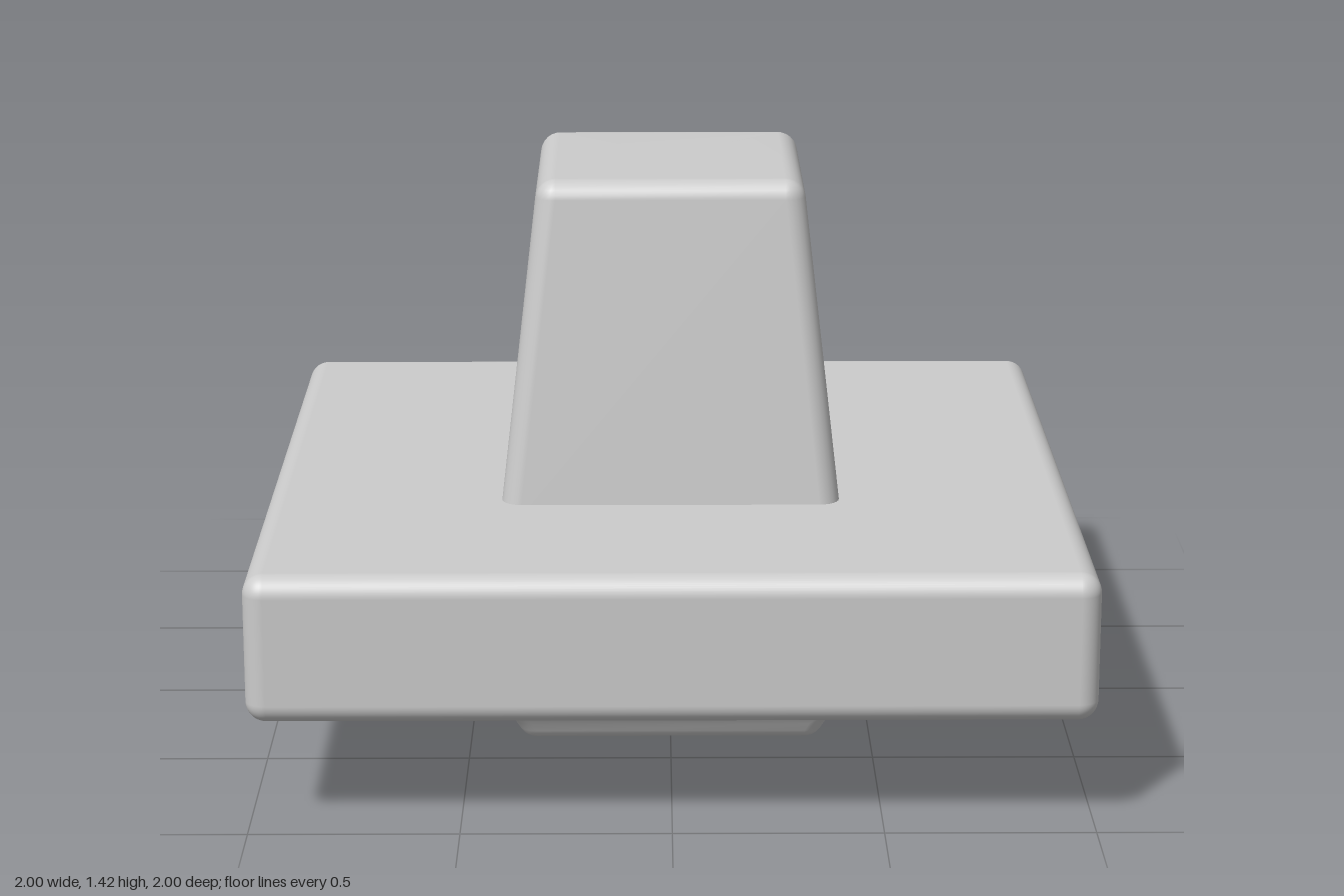
import * as THREE from 'three';
import { RoundedBoxGeometry } from 'three/addons/geometries/RoundedBoxGeometry.js';

const CORNER_STEPS = 6;

// Square ring with rounded corners, counter-clockwise seen from above
function squareRing({ h, y, r }) {
  const points = [];
  for (let c = 0; c < 4; c++) {
    const mid = Math.PI / 4 + c * Math.PI / 2;
    const cx = Math.sign(Math.cos(mid)) * (h - r);
    const cz = -Math.sign(Math.sin(mid)) * (h - r);
    for (let i = 0; i <= CORNER_STEPS; i++) {
      const a = (c + i / CORNER_STEPS) * Math.PI / 2;
      points.push(cx + r * Math.cos(a), y, cz - r * Math.sin(a));
    }
  }
  return points;
}

// Skin the rings from bottom to top; a ring with h = 0 closes an end
function loft(rings) {
  const n = 4 * (CORNER_STEPS + 1);
  const index = [];
  for (let k = 0; k < rings.length - 1; k++) {
    for (let i = 0; i < n; i++) {
      const j = (i + 1) % n;
      const a = k * n + i, b = k * n + j;
      index.push(a, b, b + n, a, b + n, a + n);
    }
  }
  const geometry = new THREE.BufferGeometry();
  geometry.setAttribute('position', new THREE.Float32BufferAttribute(rings.flatMap(squareRing), 3));
  geometry.setIndex(index);
  geometry.computeVertexNormals();
  return geometry;
}

// Rings along a rounded edge, from angle a0 to a1
function fillet(cx, cy, radius, a0, a1, steps = 6) {
  return Array.from({ length: steps + 1 }, (_, i) => {
    const a = THREE.MathUtils.degToRad(a0 + (a1 - a0) * i / steps);
    const out = radius * Math.cos(a);
    return { h: cx + out, y: cy + radius * Math.sin(a), r: Math.max(out, 0.003) };
  });
}

export function createModel() {
  const group = new THREE.Group();
  const material = new THREE.MeshStandardMaterial({ color: 0xcccccc });
  const add = (name, geometry) => {
    const mesh = new THREE.Mesh(geometry, material);
    mesh.name = name;
    group.add(mesh);
    return mesh;
  };

  // Wide square slab
  add('slab', new RoundedBoxGeometry(2, 0.362, 2, 6, 0.05)).position.y = 0.449;

  // Tapered post with a rounded top edge
  add('post', loft([
    { h: 0.419, y: 0.6, r: 0.05 },
    ...fillet(0.28, 1.37, 0.05, 6.5, 90),
    { h: 0, y: 1.42, r: 0 },
  ]));

  // Foot flaring up to the slab along a concave arc
  const R = 0.453, arcX = 0.78, arcY = 0.268 - R;
  const start = THREE.MathUtils.degToRad(62), steps = 20;
  const flare = [];
  for (let i = 1; i <= steps; i++) {
    const a = start * (1 - i / steps);
    flare.push({ h: arcX - R * Math.sin(a), y: arcY + R * Math.cos(a), r: 0.045 });
  }
  add('foot', loft([
    { h: 0, y: 0, r: 0 },
    ...fillet(0.336, 0.05, 0.05, -90, -28),
    ...flare,
    { h: 0.78, y: 0.3, r: 0.045 },
  ].slice(0, -1)));

  return group;
}
